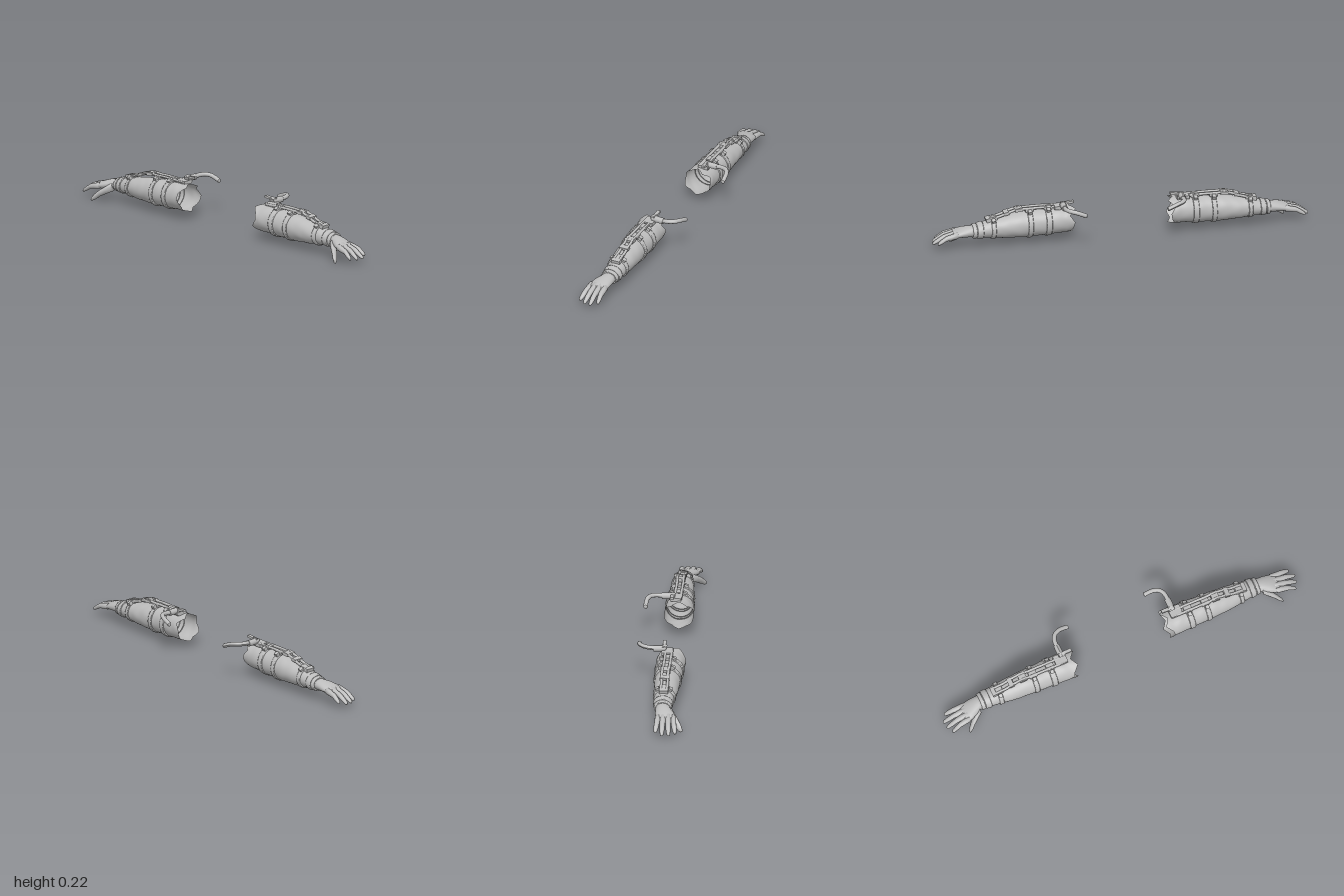
import * as THREE from 'three';

// Arm sections: x, centre y, centre z, half height, half depth
const ARM = [
  [0.25, 0.121, 0.04, 0.07, 0.076], [0.33, 0.119, 0.038, 0.071, 0.074], [0.40, 0.115, 0.037, 0.071, 0.071],
  [0.47, 0.112, 0.036, 0.07, 0.068], [0.53, 0.109, 0.035, 0.068, 0.066], [0.62, 0.105, 0.034, 0.059, 0.061],
  [0.70, 0.101, 0.031, 0.047, 0.051], [0.75, 0.096, 0.03, 0.037, 0.045], [0.79, 0.094, 0.031, 0.032, 0.04],
];
const TORN = [0.025, 0.0, 0.03, 0.035, 0.008, 0.02, 0.0, 0.028, 0.012, 0.005, 0.03, -0.005];

function armAt(x) {
  let i = 0;
  while (i < ARM.length - 2 && x > ARM[i + 1][0]) i++;
  const t = (x - ARM[i][0]) / (ARM[i + 1][0] - ARM[i][0]);
  return ARM[i].map((v, k) => v + (ARM[i + 1][k] - v) * t);
}

// Skin elliptical rings that run along x; edit(ring, angle, j) may shift x and scale the radius
function loft(sections, n = 16, capped = true, edit = () => [0, 1]) {
  const pos = [], idx = [];
  sections.forEach(([x, cy, cz, ry, rz], i) => {
    for (let j = 0; j < n; j++) {
      const a = (j / n) * Math.PI * 2;
      const [dx, s] = edit(i, a, j, x);
      pos.push(x + dx, cy + ry * s * Math.cos(a), cz + rz * s * Math.sin(a));
    }
  });
  for (let i = 0; i < sections.length - 1; i++) {
    for (let j = 0; j < n; j++) {
      const a = i * n + j, b = i * n + (j + 1) % n;
      idx.push(a, b, a + n, b, b + n, a + n);
    }
  }
  if (capped) {
    [0, sections.length - 1].forEach((i, end) => {
      pos.push(...sections[i].slice(0, 3));
      const c = pos.length / 3 - 1;
      for (let j = 0; j < n; j++) {
        const a = i * n + j, b = i * n + (j + 1) % n;
        if (end) idx.push(c, a, b); else idx.push(c, b, a);
      }
    });
  }
  const g = new THREE.BufferGeometry();
  g.setAttribute('position', new THREE.Float32BufferAttribute(pos, 3));
  g.setIndex(idx);
  g.computeVertexNormals();
  return g;
}

// Strap that hugs the arm between two x positions
function strap(x0, x1, grow) {
  const rings = [[x0, -0.004], [x0, grow * 0.7], [x0 + 0.004, grow], [x1 - 0.004, grow], [x1, grow * 0.7], [x1, -0.004]];
  return loft(rings.map(([x, o]) => {
    const s = armAt(x);
    return [x, s[1], s[2], s[3] + o, s[4] + o];
  }), 28, false);
}

function box(w, h, d, x, y, z, tilt = 0, roll = 0) {
  return new THREE.BoxGeometry(w, h, d).rotateX(roll).rotateZ(tilt).translate(x, y, z);
}

function tube(points, r, seg = 32) {
  const curve = new THREE.CatmullRomCurve3(points.map((p) => new THREE.Vector3(...p)));
  return new THREE.TubeGeometry(curve, seg, r, 10, false);
}

function digit(points) {
  const [a, b, c] = points;
  const end = (k) => c.slice(0, 3).map((v, i) => v + (c[i] - b[i]) * k);
  const ring = (p, r) => [p[0], p[1], p[2], r, r];
  const mid = (p, q) => p.map((v, i) => (v + q[i]) / 2);
  return loft([ring(a, a[3]), ring(mid(a, b), (a[3] + b[3]) / 2), ring(b, b[3]), ring(mid(b, c), b[3] * 0.95),
    ring(c, c[3]), ring(end(0.1), c[3] * 0.75), ring(end(0.16), c[3] * 0.3)], 12);
}

function armParts() {
  const parts = [];
  const add = (name, g) => parts.push([name, g]);

  // Sleeve with a torn open end and soft folds
  const rows = Array.from({ length: 55 }, (_, i) => armAt(0.25 + 0.54 * i / 54));
  add('sleeve', loft(rows, 36, false, (i, a, j, x) => {
    const k = j / 3, f = k - Math.floor(k);
    const torn = TORN[Math.floor(k)] * (1 - f) + TORN[(Math.floor(k) + 1) % 12] * f;
    const fold = 1 + 0.014 * Math.sin(x * 75 + 2 * Math.sin(a * 2)) * Math.sin(a * 3 + x * 20);
    return [torn * Math.max(0, 1 - i / 6), fold];
  }));

  // Straps and wrist cuffs
  add('upperStrap', strap(0.375, 0.405, 0.006));
  add('middleStrap', strap(0.475, 0.5, 0.006));
  add('lowerStrap', strap(0.67, 0.692, 0.006));
  add('wristCuff', strap(0.735, 0.765, 0.006));
  add('gloveCuff', strap(0.768, 0.788, 0.005));

  // Palm
  add('palm', loft([
    [0.77, 0.094, 0.03, 0.031, 0.038], [0.80, 0.093, 0.034, 0.029, 0.039], [0.83, 0.09, 0.042, 0.027, 0.047],
    [0.86, 0.084, 0.05, 0.023, 0.052], [0.885, 0.079, 0.053, 0.018, 0.052], [0.898, 0.076, 0.053, 0.011, 0.047],
  ], 20));

  // Fingers and thumb: x, y, z, radius at root, middle and tip
  [[0.966, 0.043, 0.106, 0.078], [0.983, 0.041, 0.074, 0.083], [0.988, 0.042, 0.04, 0.082], [0.968, 0.048, 0.006, 0.078]]
    .forEach(([x, y, z, root], i) => {
      const rootZ = 0.09 - i * 0.0255;
      add('finger', digit([[0.868, root + 0.004, rootZ, 0.017], [(0.868 + x) / 2 + 0.01, (root + y) / 2 + 0.008, (rootZ + z) / 2, 0.0135],
        [x, y, z, 0.0095]]));
    });
  add('thumb', digit([[0.80, 0.083, 0.062, 0.024], [0.85, 0.05, 0.102, 0.018], [0.882, 0.018, 0.129, 0.012]]));

  // Clips on the straps
  [[0.39, 0.194, 0], [0.488, 0.19, -0.06], [0.68, 0.157, -0.22]].forEach(([x, y, tilt]) => {
    add('clip', box(0.042, 0.016, 0.046, x, y, 0.03, tilt));
    add('clipCatch', box(0.02, 0.02, 0.02, x, y - 0.006, 0.062, tilt, 0.5));
    add('clipCatch', box(0.02, 0.02, 0.02, x, y - 0.006, -0.002, tilt, -0.5));
  });

  // Twin rods, raised between the clips
  [0.014, 0.046].forEach((z) => add('rod', tube([
    [0.30, 0.197, z], [0.39, 0.199, z], [0.45, 0.2, z], [0.50, 0.199, z], [0.55, 0.2, z - 0.002],
    [0.60, 0.187, z - 0.002], [0.64, 0.171, z], [0.70, 0.157, z]], 0.0075, 48)));
  add('rodCoupling', box(0.04, 0.016, 0.052, 0.545, 0.197, 0.029, -0.08));
  add('rodCoupling', box(0.026, 0.016, 0.05, 0.61, 0.183, 0.029, -0.25));
  add('rodEnd', box(0.022, 0.02, 0.048, 0.706, 0.153, 0.03, -0.25));

  // Base plate, joint and hose that hooks over the torn end
  add('basePlate', box(0.065, 0.018, 0.056, 0.325, 0.195, 0.022));
  add('joint', box(0.03, 0.036, 0.022, 0.31, 0.207, 0.004, 0, 0.35));
  add('jointArm', box(0.07, 0.012, 0.018, 0.29, 0.219, 0.005, -0.1));
  add('hoseSocket', tube([[0.312, 0.21, 0.01], [0.314, 0.209, -0.02], [0.314, 0.208, -0.05]], 0.0165, 8));
  add('hoseSocketEnd', new THREE.CircleGeometry(0.0165, 10).rotateY(Math.PI).translate(0.314, 0.208, -0.05));
  add('hose', tube([[0.314, 0.209, -0.04], [0.312, 0.212, -0.08], [0.298, 0.213, -0.108], [0.272, 0.209, -0.123],
    [0.245, 0.2, -0.128], [0.218, 0.189, -0.129]], 0.0115));
  add('hoseTip', new THREE.SphereGeometry(0.0113, 10, 8).scale(0.4, 1, 1).translate(0.218, 0.189, -0.129));
  return parts;
}

// Mirror across x and turn the faces back outward
function mirrored(g) {
  const m = g.clone().scale(-1, 1, 1);
  const ix = m.index.array;
  for (let i = 0; i < ix.length; i += 3) [ix[i], ix[i + 1]] = [ix[i + 1], ix[i]];
  m.computeVertexNormals();
  return m;
}

export function createModel() {
  const material = new THREE.MeshStandardMaterial({ color: 0xbcbcbc, side: THREE.DoubleSide });
  material.name = 'plain grey';
  const model = new THREE.Group();
  model.name = 'armPair';
  const left = new THREE.Group(), right = new THREE.Group();
  left.name = 'leftArm';
  right.name = 'rightArm';
  armParts().forEach(([name, g]) => {
    [[left, g], [right, mirrored(g)]].forEach(([group, geo]) => {
      const mesh = new THREE.Mesh(geo, material);
      mesh.name = name;
      group.add(mesh);
    });
  });
  model.add(left, right);
  return model;
}
